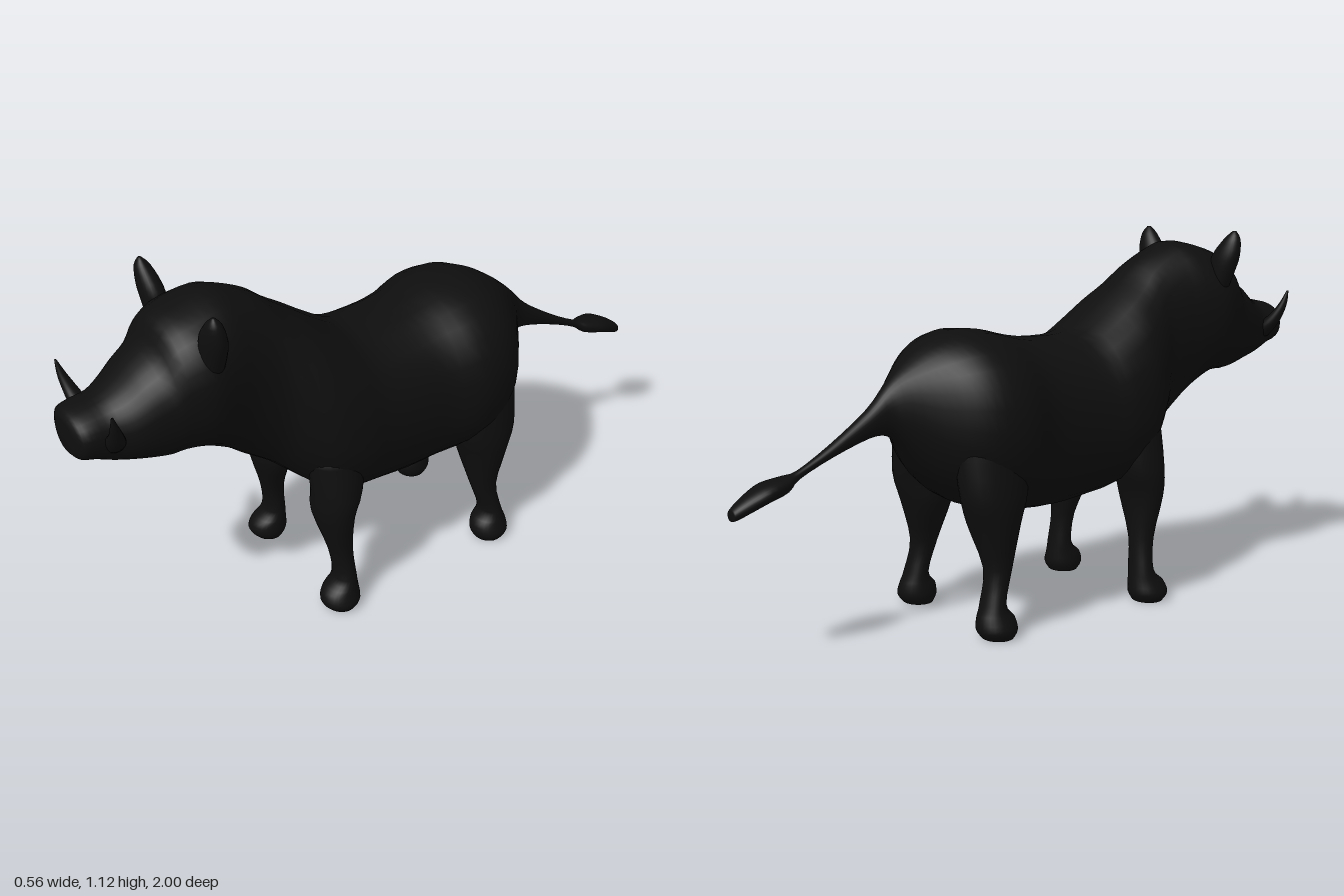
import * as THREE from 'three';

const SIDES = 28;

// Skin a list of closed rings into one smooth, capped surface
function skin(rings) {
  const n = rings[0].length, pos = [], idx = [];
  rings.forEach(r => r.forEach(p => pos.push(p.x, p.y, p.z)));
  for (let i = 0; i < rings.length - 1; i++) {
    for (let j = 0; j < n; j++) {
      const k = (j + 1) % n, a = i * n + j, b = i * n + k;
      idx.push(a, a + n, b, b, a + n, b + n);
    }
  }
  const cap = (ring, start, first) => {
    const c = ring.reduce((s, p) => s.add(p), new THREE.Vector3()).divideScalar(n);
    const ci = pos.length / 3;
    pos.push(c.x, c.y, c.z);
    for (let j = 0; j < n; j++) {
      const a = start + j, b = start + (j + 1) % n;
      if (first) idx.push(ci, a, b); else idx.push(ci, b, a);
    }
  };
  cap(rings[0], 0, true);
  cap(rings[rings.length - 1], (rings.length - 1) * n, false);
  const g = new THREE.BufferGeometry();
  g.setAttribute('position', new THREE.Float32BufferAttribute(pos, 3));
  g.setIndex(idx);
  g.computeVertexNormals();
  return g;
}

// Insert smooth in-between rows
function refine(rows, steps) {
  const out = [], at = i => rows[Math.min(Math.max(i, 0), rows.length - 1)];
  for (let i = 0; i < rows.length - 1; i++) {
    for (let s = 0; s < steps; s++) {
      const t = s / steps;
      out.push(rows[i].map((p1, k) => {
        const p0 = at(i - 1)[k], p2 = at(i + 1)[k], p3 = at(i + 2)[k];
        return p1 + 0.5 * t * (p2 - p0 + t * (2 * p0 - 5 * p1 + 4 * p2 - p3 + t * (3 * (p1 - p2) + p3 - p0)));
      }));
    }
  }
  out.push(rows[rows.length - 1]);
  return out;
}

const pow = (v, e) => Math.sign(v) * Math.abs(v) ** e;
const ring = f => Array.from({ length: SIDES }, (_, j) => {
  const a = j / SIDES * Math.PI * 2;
  return f(Math.cos(a), Math.sin(a));
});

// Rows run nose to tail: z, top, bottom, half width, height of widest point
function alongZ(rows) {
  return skin(refine(rows, 3).map(([z, top, bottom, w, mid]) => ring((c, s) =>
    new THREE.Vector3(w * pow(c, 0.88), mid + pow(s, 0.92) * (s > 0 ? top - mid : mid - bottom), z))));
}

// Rows run downwards: y, x centre, x radius, z centre, z radius
function alongY(rows, side) {
  return skin(refine(rows, 3).map(([y, x, rx, z, rz]) => ring((c, s) =>
    new THREE.Vector3(side * x + rx * c, y, z - rz * s))));
}

const HEAD = [
  [1.0, 0.845, 0.75, 0.055, 0.8],
  [0.985, 0.865, 0.735, 0.09, 0.8],
  [0.95, 0.875, 0.725, 0.1, 0.8],
  [0.9, 0.885, 0.7, 0.105, 0.79],
  [0.85, 0.91, 0.688, 0.128, 0.79],
  [0.8, 0.95, 0.672, 0.145, 0.81],
  [0.75, 0.985, 0.66, 0.16, 0.83],
  [0.71, 1.045, 0.66, 0.175, 0.86],
  [0.64, 1.072, 0.648, 0.196, 0.88],
  [0.56, 1.09, 0.6, 0.182, 0.86],
  [0.5, 1.075, 0.55, 0.172, 0.82],
];
const TORSO = [
  [0.42, 1.035, 0.49, 0.178, 0.74],
  [0.36, 0.985, 0.435, 0.215, 0.66],
  [0.29, 0.935, 0.375, 0.252, 0.6],
  [0.2, 0.87, 0.34, 0.262, 0.57],
  [0.12, 0.828, 0.325, 0.252, 0.56],
  [0, 0.825, 0.31, 0.246, 0.56],
  [-0.1, 0.837, 0.315, 0.25, 0.57],
  [-0.2, 0.862, 0.33, 0.279, 0.59],
  [-0.29, 0.868, 0.355, 0.268, 0.6],
  [-0.36, 0.848, 0.4, 0.228, 0.61],
  [-0.42, 0.815, 0.465, 0.16, 0.62],
  [-0.48, 0.765, 0.55, 0.08, 0.655],
];
const TAIL = [
  [-0.52, 0.725, 0.583, 0.042, 0.65],
  [-0.58, 0.662, 0.583, 0.03, 0.62],
  [-0.7, 0.578, 0.543, 0.02, 0.56],
  [-0.8, 0.522, 0.497, 0.014, 0.51],
  [-0.84, 0.513, 0.467, 0.034, 0.49],
  [-0.9, 0.502, 0.45, 0.05, 0.476],
  [-0.95, 0.478, 0.43, 0.04, 0.453],
  [-0.985, 0.455, 0.415, 0.028, 0.435],
  [-1.0, 0.442, 0.412, 0.02, 0.427],
];
const FRONT_LEG = [
  [0.56, 0.16, 0.075, 0.265, 0.09],
  [0.42, 0.18, 0.082, 0.275, 0.075],
  [0.33, 0.176, 0.08, 0.287, 0.058],
  [0.2, 0.193, 0.043, 0.275, 0.036],
  [0.1, 0.202, 0.046, 0.268, 0.034],
  [0.06, 0.206, 0.055, 0.285, 0.055],
  [0.025, 0.211, 0.062, 0.29, 0.061],
  [0, 0.21, 0.05, 0.288, 0.045],
];
const HIND_LEG = [
  [0.56, 0.155, 0.09, -0.27, 0.12],
  [0.42, 0.178, 0.084, -0.275, 0.105],
  [0.33, 0.176, 0.08, -0.275, 0.078],
  [0.2, 0.193, 0.043, -0.274, 0.042],
  [0.1, 0.202, 0.046, -0.298, 0.034],
  [0.06, 0.206, 0.055, -0.292, 0.055],
  [0.025, 0.211, 0.062, -0.291, 0.06],
  [0, 0.21, 0.05, -0.288, 0.045],
];
const EAR = [
  [1.125, 0.198, 0.006, 0.645, 0.005],
  [1.1, 0.192, 0.029, 0.642, 0.022],
  [1.05, 0.173, 0.051, 0.636, 0.033],
  [1.0, 0.158, 0.05, 0.632, 0.033],
  [0.94, 0.14, 0.04, 0.63, 0.03],
];
const TUSK = [
  [0.92, 0.167, 0.003, 0.932, 0.003],
  [0.88, 0.157, 0.012, 0.925, 0.012],
  [0.84, 0.137, 0.022, 0.915, 0.02],
  [0.8, 0.105, 0.034, 0.905, 0.027],
  [0.765, 0.08, 0.025, 0.9, 0.025],
];

export function createModel() {
  const hide = new THREE.MeshStandardMaterial({ color: 0x0e0e0e });
  hide.name = 'blackHide';
  const model = new THREE.Group();
  model.name = 'wildBoar';
  const add = (name, geometry) => {
    const mesh = new THREE.Mesh(geometry, hide);
    mesh.name = name;
    model.add(mesh);
  };

  // Head, torso and tail flow into one surface
  add('body', alongZ([...HEAD, ...TORSO, ...TAIL]));

  // Paired parts
  for (const [label, side] of [['left', 1], ['right', -1]]) {
    add(label + 'FrontLeg', alongY(FRONT_LEG, side));
    add(label + 'HindLeg', alongY(HIND_LEG, side));
    add(label + 'Ear', alongY(EAR, side));
    add(label + 'Tusk', alongY(TUSK, side));
  }
  return model;
}
